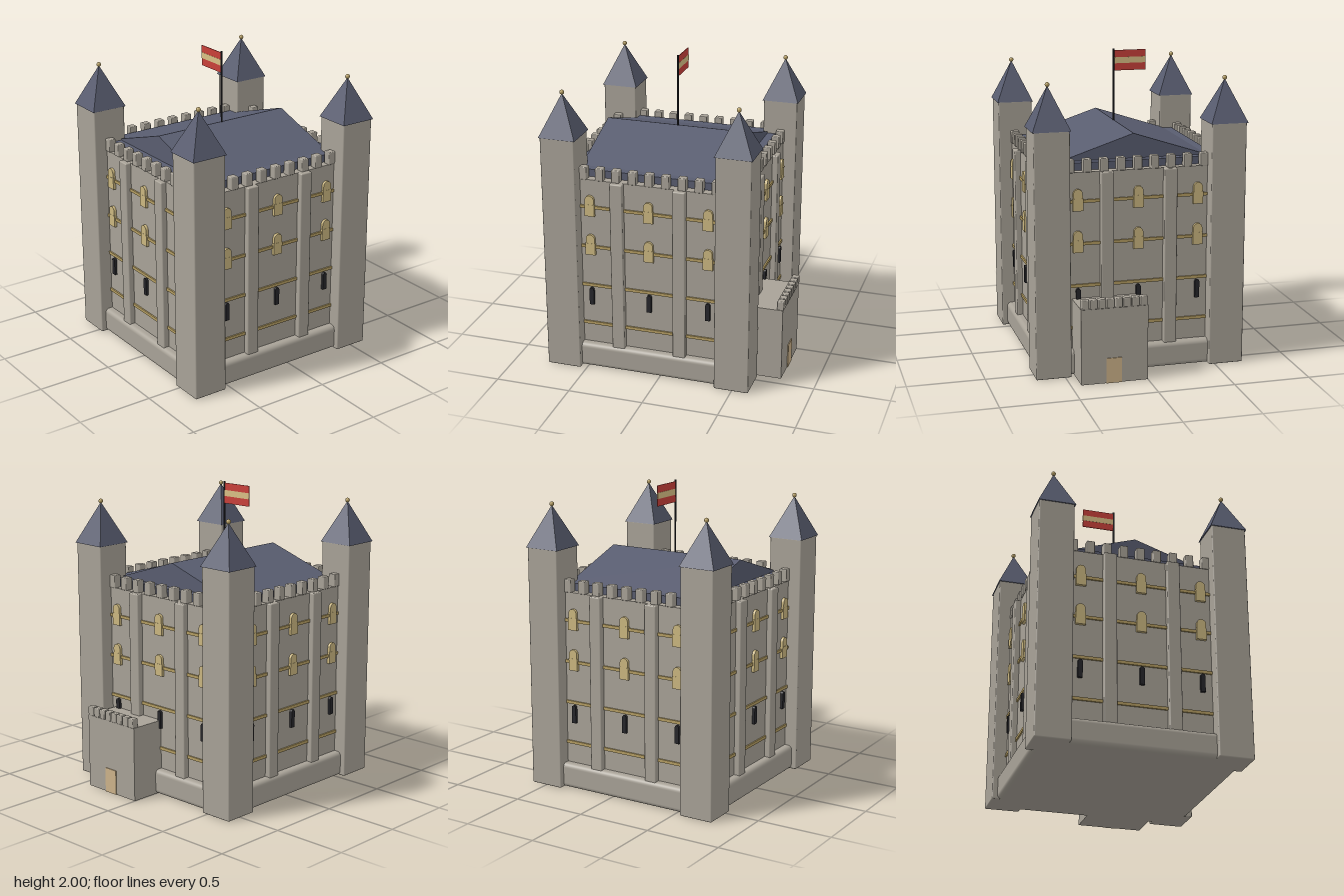
import * as THREE from 'three';
import { RoundedBoxGeometry } from 'three/addons/geometries/RoundedBoxGeometry.js';

const mat = (name, color, extra = {}) => {
  const m = new THREE.MeshStandardMaterial({ color, ...extra });
  m.name = name;
  return m;
};

export function createModel() {
  const stone = mat('stone', 0xa8a297);
  const slate = mat('slate', 0x595d70, { flatShading: true });
  const glow = mat('window gold', 0xcbb780);
  const brass = mat('brass', 0xb49d62);
  const dark = mat('dark iron', 0x26262a);
  const wood = mat('door tan', 0xcdb38a);
  const red = mat('flag red', 0xc9403a);
  const cream = mat('flag stripe', 0xd9bf85);

  const model = new THREE.Group();
  model.name = 'castleKeep';
  const keep = new THREE.Group();
  keep.name = 'keep';
  keep.position.x = -0.08;
  model.add(keep);

  const add = (parent, name, geo, material, x = 0, y = 0, z = 0) => {
    const m = new THREE.Mesh(geo, material);
    m.name = name;
    m.position.set(x, y, z);
    parent.add(m);
    return m;
  };
  // Boxes are placed by the height of their base
  const box = (parent, name, w, h, d, material, x, y, z) =>
    add(parent, name, new THREE.BoxGeometry(w, h, d), material, x, y + h / 2, z);
  const rbox = (parent, name, w, h, d, r, material, x, y, z) =>
    add(parent, name, new RoundedBoxGeometry(w, h, d, 3, r), material, x, y + h / 2, z);

  // Main body and battered plinth
  const WALL = 0.602;
  box(keep, 'walls', WALL * 2, 1.305, WALL * 2, stone, 0, 0.01, 0);
  rbox(keep, 'plinth', 1.31, 0.165, 1.31, 0.03, stone, 0, 0, 0);

  // Arched plate with a straight lower part
  const arch = (w, h, depth) => {
    const r = w / 2, s = new THREE.Shape();
    s.moveTo(-r, 0);
    s.lineTo(r, 0);
    s.lineTo(r, h - r);
    s.absarc(0, h - r, r, 0, Math.PI, false);
    s.lineTo(-r, 0);
    return new THREE.ExtrudeGeometry(s, { depth, bevelEnabled: false, curveSegments: 10 });
  };
  const windowGeo = arch(0.06, 0.14, 0.018);
  const slitGeo = arch(0.03, 0.12, 0.018);

  // Four identical sides: bands, pilasters, windows, slits, merlons
  for (let i = 0; i < 4; i++) {
    const side = new THREE.Group();
    side.name = 'wallSide';
    side.rotation.y = i * Math.PI / 2;
    keep.add(side);
    for (const y of [0.305, 0.58, 0.855, 1.13])
      box(side, 'stringCourse', 1.0, 0.02, 0.012, brass, 0, y - 0.01, WALL + 0.004);
    for (const x of [-0.208, 0.208])
      rbox(side, 'pilaster', 0.085, 1.17, 0.06, 0.008, stone, x, 0.145, 0.61);
    for (const x of [-0.395, 0, 0.395]) {
      for (const y of [0.8, 1.07]) {
        add(side, 'window', windowGeo, glow, x, y, WALL);
        box(side, 'windowBase', 0.066, 0.08, 0.019, glow, x, y, WALL + 0.0095);
      }
      add(side, 'arrowSlit', slitGeo, dark, x, 0.443, WALL);
    }
    for (let k = -4; k <= 4; k++)
      rbox(side, 'merlon', 0.053, 0.085, 0.053, 0.006, stone, k * 0.11, 1.313, 0.583);
  }

  // Roof slab and gable, ridge running along x
  box(keep, 'roofSlab', 1.09, 0.05, 1.09, slate, 0, 1.314, 0);
  const gable = new THREE.Shape();
  gable.moveTo(-0.488, 0);
  gable.lineTo(0.488, 0);
  gable.lineTo(0, 0.16);
  gable.closePath();
  const roofGeo = new THREE.ExtrudeGeometry(gable, { depth: 0.98, bevelEnabled: false });
  roofGeo.translate(0, 0, -0.49);
  roofGeo.rotateY(Math.PI / 2);
  add(keep, 'gableRoof', roofGeo, slate, 0, 1.364, 0);

  // Corner towers with pyramid spires
  const spireGeo = new THREE.ConeGeometry(0.122 * Math.SQRT2, 0.27, 4, 1);
  spireGeo.rotateY(Math.PI / 4);
  for (const sx of [-1, 1]) for (const sz of [-1, 1]) {
    const tower = new THREE.Group();
    tower.name = 'cornerTower';
    tower.position.set(sx * 0.575, 0, sz * 0.575);
    keep.add(tower);
    rbox(tower, 'towerShaft', 0.23, 1.6, 0.23, 0.008, stone, 0, 0, 0);
    add(tower, 'spire', spireGeo, slate, 0, 1.73, 0);
    add(tower, 'finial', new THREE.SphereGeometry(0.015, 16, 12), brass, 0, 1.872, 0);
  }

  // Flagpole and striped flag flying toward the back
  add(keep, 'flagpole', new THREE.CylinderGeometry(0.006, 0.006, 0.5, 10), dark, 0, 1.75, 0);
  box(keep, 'flag', 0.005, 0.135, 0.22, red, 0, 1.855, -0.11);
  box(keep, 'flagStripe', 0.008, 0.04, 0.22, cream, 0, 1.903, -0.11);

  // Entrance block on the left flank with its own parapet
  const annex = new THREE.Group();
  annex.name = 'entranceBlock';
  model.add(annex);
  box(annex, 'annexWalls', 0.265, 0.495, 0.435, stone, 0.6325, 0, 0.2175);
  for (let k = 0; k < 8; k++)
    rbox(annex, 'annexMerlon', 0.046, 0.062, 0.048, 0.006, stone, 0.747, 0.493, 0.026 + k * 0.0545);
  box(annex, 'door', 0.008, 0.165, 0.1, wood, 0.767, 0, 0.223);

  return model;
}
